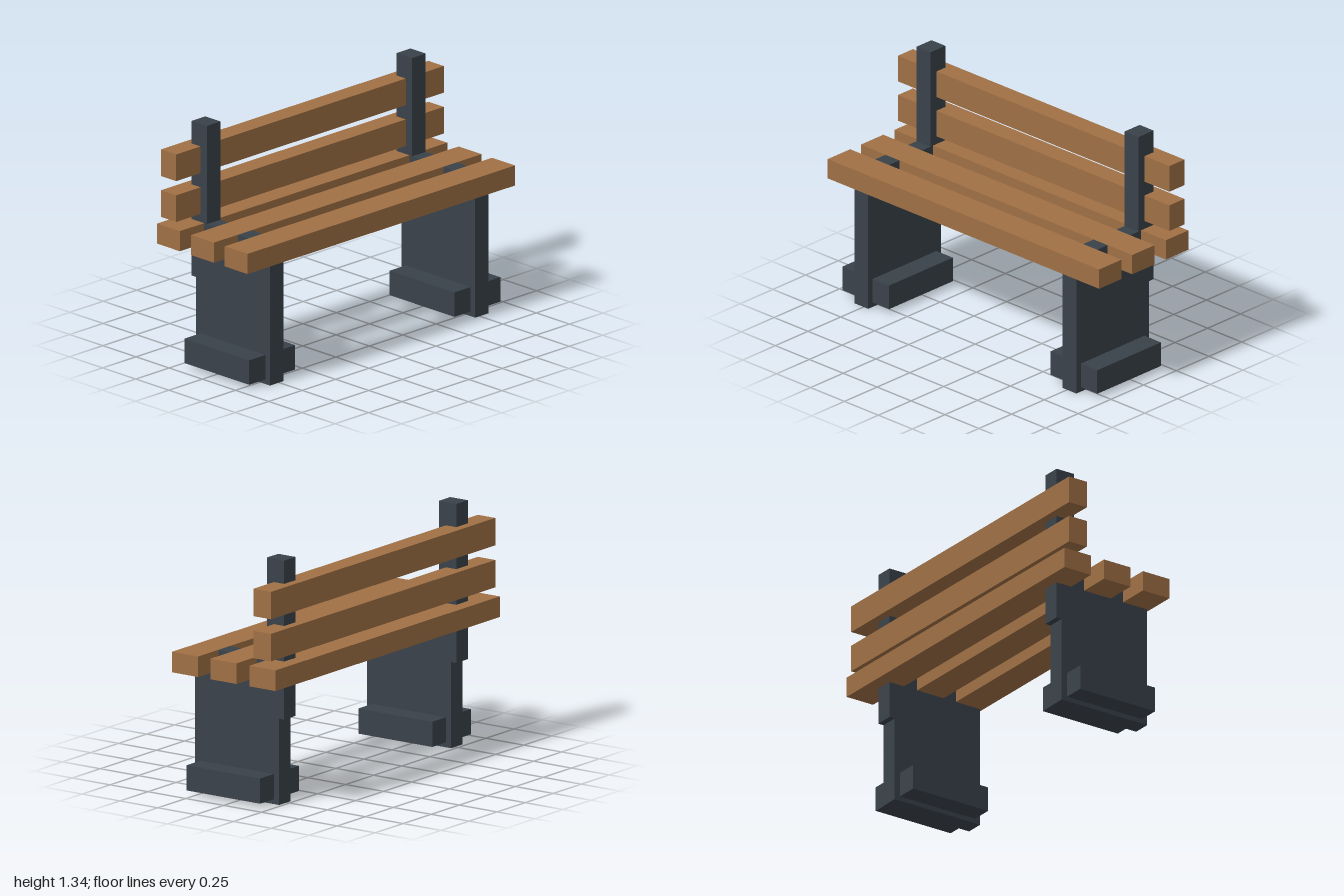
import * as THREE from 'three';

export function createModel() {
  const bench = new THREE.Group();
  bench.name = 'bench';
  const wood = new THREE.MeshStandardMaterial({ color: 0xa07045 });
  const iron = new THREE.MeshStandardMaterial({ color: 0x3a424a });

  // Box given by its x, y and z ranges
  const addBox = (parent, name, material, [x0, x1], [y0, y1], [z0, z1]) => {
    const mesh = new THREE.Mesh(new THREE.BoxGeometry(x1 - x0, y1 - y0, z1 - z0), material);
    mesh.position.set((x0 + x1) / 2, (y0 + y1) / 2, (z0 + z1) / 2);
    mesh.name = name;
    parent.add(mesh);
  };

  // Seat slats, front to back
  [0.254, 0.001, -0.256].forEach((z, i) =>
    addBox(bench, `seatSlat${i + 1}`, wood, [-1, 1], [0.677, 0.79], [z - 0.086, z + 0.086]));

  // Backrest slats behind the posts
  [0.91, 1.14].forEach((y, i) =>
    addBox(bench, `backSlat${i + 1}`, wood, [-1, 1], [y - 0.075, y + 0.075], [-0.312, -0.197]));

  // Matching end supports: leg panel, back post and foot
  for (const [side, x] of [['left', 0.767], ['right', -0.767]]) {
    const support = new THREE.Group();
    support.name = `${side}Support`;
    support.position.x = x;
    addBox(support, 'legPanel', iron, [-0.051, 0.051], [0, 0.789], [-0.231, 0.325]);
    addBox(support, 'backPost', iron, [-0.0512, 0.0512], [0.472, 1.342], [-0.265, -0.15]);
    addBox(support, 'foot', iron, [-0.172, 0.172], [0.026, 0.164], [-0.196, 0.291]);
    bench.add(support);
  }
  return bench;
}
